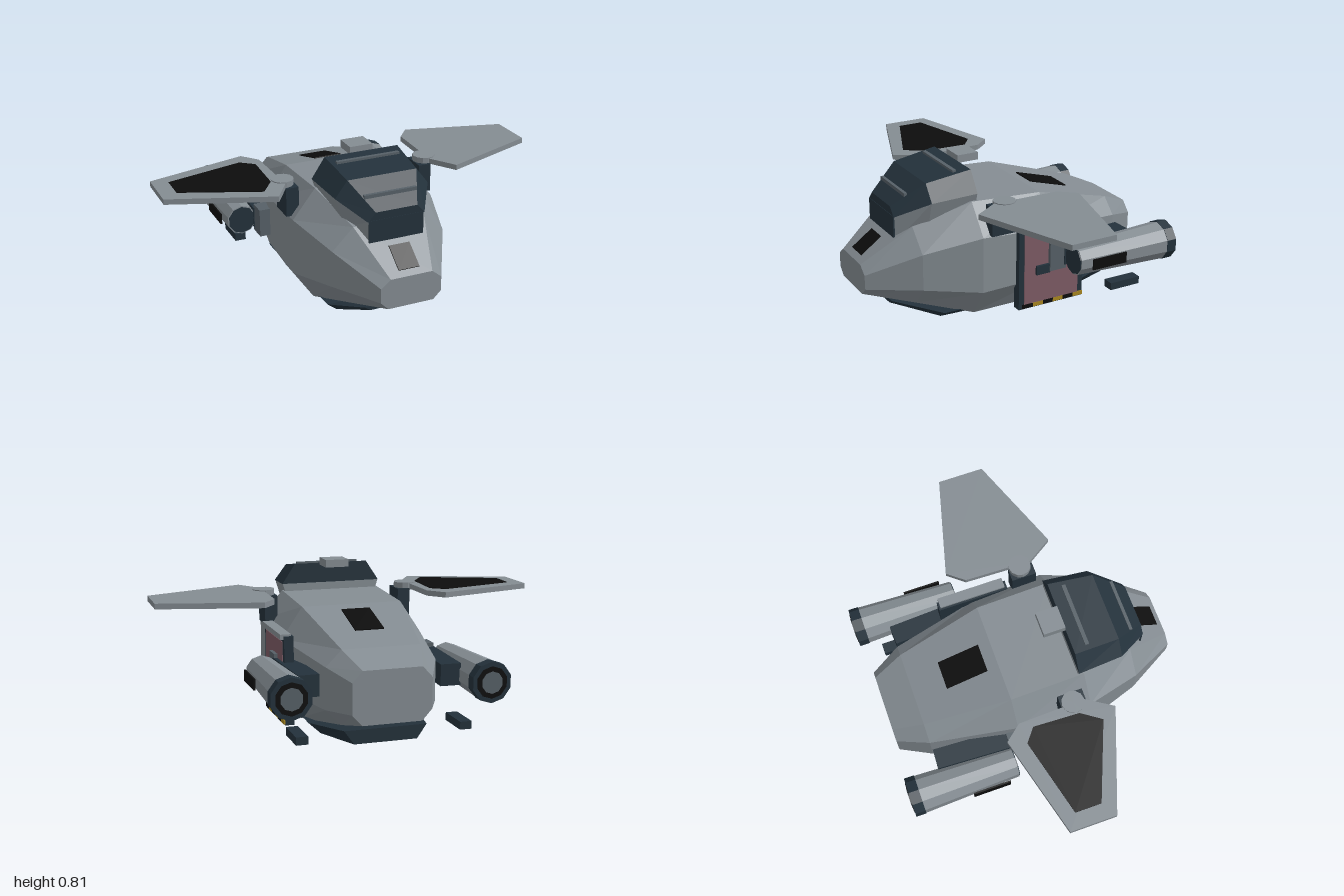
import * as THREE from 'three';

const paint = (name, color, side = THREE.FrontSide) => {
  const m = new THREE.MeshStandardMaterial({ color, flatShading: true, side });
  m.name = name;
  return m;
};

// Loft of mirrored cross-sections, front to back; each ring is [z, [x, y], ...] up the left half.
function loft(rings) {
  const loops = rings.map(([z, ...half]) => [
    ...half.map(([x, y]) => [x, y, z]),
    ...half.slice().reverse().map(([x, y]) => [-x, y, z]),
  ]);
  const pos = [];
  const tri = (...pts) => pts.forEach((p) => pos.push(...p));
  const n = loops[0].length;
  for (let i = 0; i < loops.length - 1; i++) {
    for (let j = 0; j < n; j++) {
      const k = (j + 1) % n;
      const [a, b, c, d] = [loops[i][j], loops[i][k], loops[i + 1][k], loops[i + 1][j]];
      tri(a, d, c);
      tri(a, c, b);
    }
  }
  const first = loops[0], last = loops[loops.length - 1];
  for (let j = 1; j < n - 1; j++) {
    tri(first[0], first[j], first[j + 1]);
    tri(last[0], last[j + 1], last[j]);
  }
  const g = new THREE.BufferGeometry();
  g.setAttribute('position', new THREE.Float32BufferAttribute(pos, 3));
  g.computeVertexNormals();
  return g;
}

// Flat plate from a plan outline of [x, z] points, between two heights.
function plate(points, y0, y1) {
  const shape = new THREE.Shape(points.map(([x, z]) => new THREE.Vector2(x, -z)));
  return new THREE.ExtrudeGeometry(shape, { depth: y1 - y0, bevelEnabled: false })
    .rotateX(-Math.PI / 2).translate(0, y0, 0);
}

export function createModel() {
  const root = new THREE.Group();
  root.name = 'dropship';
  const grey = paint('hullGrey', 0x848c92);
  const navy = paint('darkNavy', 0x23313b);
  const black = paint('black', 0x0c0c0c);
  const steel = paint('steelGrey', 0x566067);
  const rose = paint('doorRose', 0x7d5b65);
  const yellow = paint('hazardYellow', 0xa8861f);

  const add = (name, geo, mat, parent = root) => {
    const m = new THREE.Mesh(geo, mat);
    m.name = name;
    parent.add(m);
    return m;
  };
  // Box given by its ranges on each axis
  const box = (name, mat, [x0, x1], [y0, y1], [z0, z1], parent = root) => {
    const m = add(name, new THREE.BoxGeometry(x1 - x0, y1 - y0, Math.abs(z1 - z0)), mat, parent);
    m.position.set((x0 + x1) / 2, (y0 + y1) / 2, (z0 + z1) / 2);
    return m;
  };

  // Faceted hull
  add('hull', loft([
    [0.78, [0.12, 0.195], [0.16, 0.235], [0.16, 0.31], [0.11, 0.35]],
    [0.53, [0.21, 0.125], [0.3, 0.23], [0.3, 0.42], [0.19, 0.53]],
    [0.24, [0.28, 0.03], [0.385, 0.185], [0.385, 0.48], [0.265, 0.632]],
    [-0.15, [0.28, 0.03], [0.372, 0.185], [0.372, 0.45], [0.265, 0.61]],
    [-0.6, [0.2, 0.11], [0.28, 0.19], [0.28, 0.4], [0.2, 0.48]],
    [-0.76, [0.15, 0.145], [0.2, 0.2], [0.2, 0.355], [0.15, 0.41]],
  ]), grey);

  // Belly keel
  add('belly', loft([
    [0.65, [0.15, 0.13], [0.18, 0.15]],
    [0.4, [0.22, 0.022], [0.27, 0.06]],
    [-0.35, [0.23, 0], [0.295, 0.06]],
    [-0.67, [0.16, 0.03], [0.21, 0.1]],
  ]), navy);

  // Cockpit: grey skirt, dark glass and window bars
  add('cockpitSkirt', loft([
    [0.605, [0.135, 0.44], [0.148, 0.58]],
    [0.45, [0.2, 0.5], [0.247, 0.655]],
    [0.21, [0.24, 0.58], [0.268, 0.67]],
  ]), grey);
  add('canopy', loft([
    [0.61, [0.15, 0.58], [0.11, 0.625]],
    [0.45, [0.25, 0.655], [0.185, 0.74]],
    [0.21, [0.27, 0.67], [0.2, 0.775]],
  ]), navy);
  box('noseWindow', navy, [-0.145, 0.145], [0.46, 0.585], [0.604, 0.612]);
  box('canopyBarRear', steel, [-0.17, 0.17], [0.757, 0.774], [0.275, 0.295]);
  box('canopyBarFront', steel, [-0.14, 0.14], [0.672, 0.69], [0.53, 0.546]);
  box('roofSensor', grey, [-0.062, 0.062], [0.765, 0.805], [0.095, 0.21]);

  // Black vents lying on the sloping roof and nose
  const vent = (name, w, len, y, z, tilt) => {
    const m = add(name, new THREE.BoxGeometry(w, 0.009, len), black);
    m.position.set(0, y, z);
    m.rotation.x = tilt;
  };
  vent('roofVent', 0.15, 0.229, 0.562, -0.32, -0.281);
  vent('noseVent', 0.11, 0.136, 0.412, 0.695, 0.624);

  // Parts repeated on both sides
  for (const s of [1, -1]) {
    const side = new THREE.Group();
    side.name = s > 0 ? 'leftSide' : 'rightSide';
    root.add(side);
    const span = (a, b) => (s > 0 ? [a, b] : [-b, -a]);
    const outline = (pts) => pts.map(([x, z]) => [x * s, z]);

    // Wing with its hinge and mount
    box('wingMount', navy, span(0.335, 0.402), [0.485, 0.635], [0.07, 0.2], side);
    const hinge = add('wingHinge', new THREE.CylinderGeometry(0.058, 0.058, 0.04, 12), grey, side);
    hinge.position.set(0.395 * s, 0.645, 0.13);
    add('wing', plate(outline([
      [1, -0.11], [1, 0.13], [0.485, 0.322], [0.4, 0.19], [0.41, -0.16], [0.48, -0.245],
    ]), 0.632, 0.66), grey, side);
    if (s < 0) {
      add('wingPanel', plate(outline([
        [0.92, -0.055], [0.92, 0.08], [0.53, 0.24], [0.46, 0.14], [0.45, -0.1], [0.52, -0.155],
      ]), 0.658, 0.664), black, side);
    }

    // Engine pod along z
    const tube = (name, mat, rFront, rRear, z0, z1) => {
      const m = add(name, new THREE.CylinderGeometry(rFront, rRear, z0 - z1, 10).rotateX(Math.PI / 2), mat, side);
      m.position.set(0.497 * s, 0.31, (z0 + z1) / 2);
    };
    tube('enginePod', grey, 0.08, 0.1, -0.215, -0.73);
    tube('engineIntake', navy, 0.074, 0.074, -0.211, -0.218);
    tube('engineCap', navy, 0.103, 0.103, -0.73, -0.784);
    tube('nozzleRing', black, 0.08, 0.08, -0.78, -0.787);
    tube('nozzleCore', steel, 0.055, 0.055, -0.78, -0.79);
    box('enginePanel', black, span(0.589, 0.598), [0.28, 0.336], [-0.47, -0.27], side);
    box('engineBracket', steel, span(0.36, 0.43), [0.24, 0.39], [-0.215, -0.12], side);
    const pylon = box('enginePylon', navy, span(0.32, 0.425), [0.26, 0.37], [-0.6, -0.2], side);
    pylon.rotation.y = 0.05 * s;
    box('landingSkid', navy, span(0.387, 0.447), [0.052, 0.092], [-0.67, -0.49], side);
  }

  // Cargo door on the left side
  const door = new THREE.Group();
  door.name = 'cargoDoor';
  root.add(door);
  box('doorFrame', navy, [0.36, 0.408], [0.05, 0.5], [-0.33, 0.05], door);
  box('doorPanel', rose, [0.404, 0.412], [0.075, 0.47], [-0.3, 0.02], door);
  box('doorRail', grey, [0.37, 0.425], [0.483, 0.51], [-0.32, 0.038], door);
  box('doorHandle', navy, [0.405, 0.425], [0.232, 0.28], [-0.125, -0.045], door);
  for (let i = 0; i < 6; i++) {
    const z = 0.03 - i * 0.06;
    box('hazardStripe', i % 2 ? yellow : black, [0.405, 0.414], [0.055, 0.076], [z - 0.06, z], door);
  }
  return root;
}
